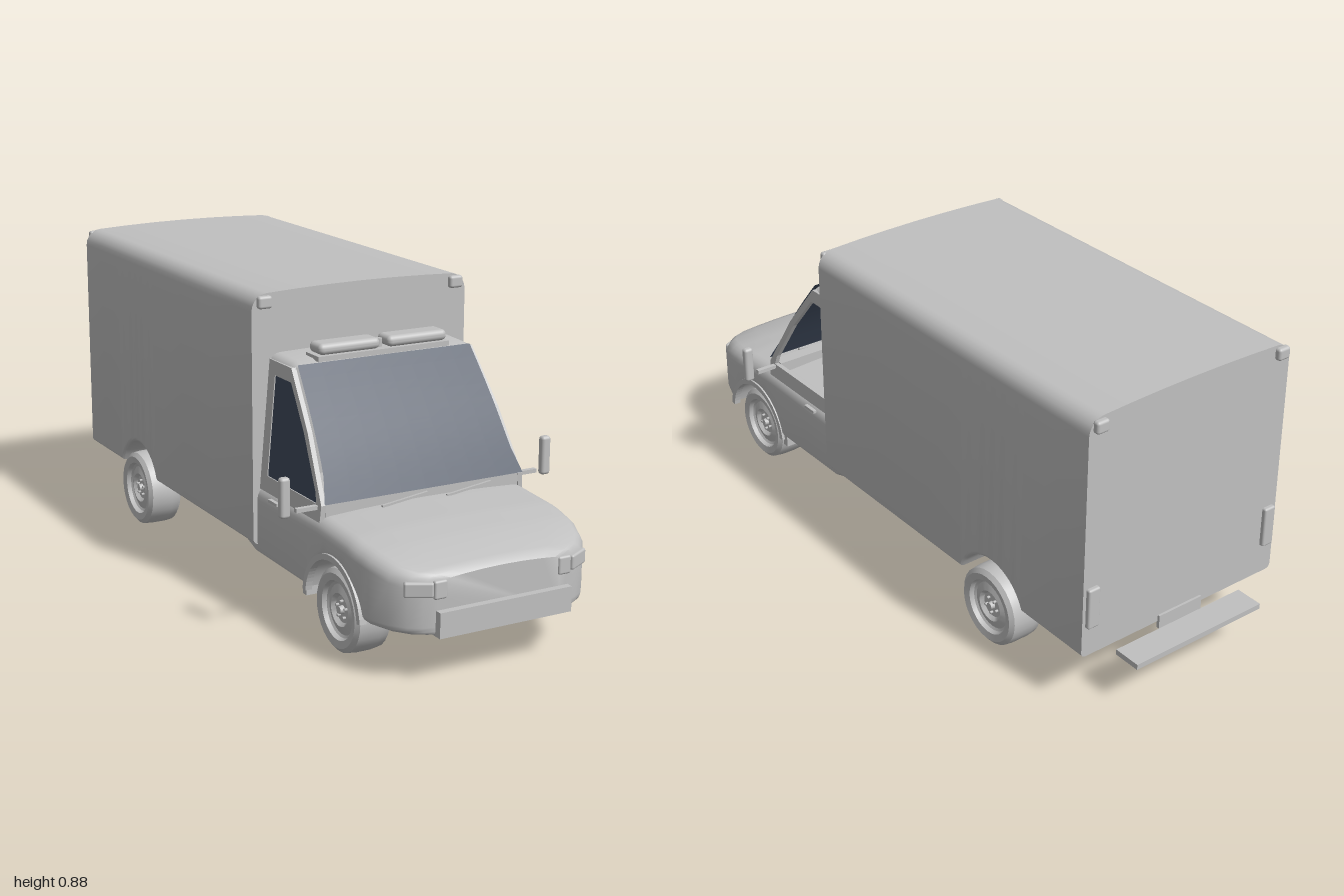
import * as THREE from 'three';
import { toCreasedNormals } from 'three/addons/utils/BufferGeometryUtils.js';
import { RoundedBoxGeometry } from 'three/addons/geometries/RoundedBoxGeometry.js';

const paint = new THREE.MeshStandardMaterial({ color: 0xc0c0c0, side: THREE.DoubleSide });
paint.name = 'grey paint';
const glass = new THREE.MeshStandardMaterial({ color: 0x3f4a5c, side: THREE.DoubleSide });
glass.name = 'dark glass';

const WHEEL_R = 0.115, FRONT_Z = 0.68, REAR_Z = -0.535;

export function createModel() {
  const model = new THREE.Group();
  model.name = 'boxTruck';

  const add = (name, geometry, x = 0, y = 0, z = 0, material = paint, parent = model) => {
    const mesh = new THREE.Mesh(geometry, material);
    mesh.name = name;
    mesh.position.set(x, y, z);
    parent.add(mesh);
    return mesh;
  };
  // Boxes given by their limits
  const box = (name, x0, x1, y0, y1, z0, z1, r = 0) => {
    const s = [x1 - x0, y1 - y0, z1 - z0];
    const g = r ? new RoundedBoxGeometry(...s, 3, r) : new THREE.BoxGeometry(...s);
    return add(name, g, (x0 + x1) / 2, (y0 + y1) / 2, (z0 + z1) / 2);
  };

  // Cargo box with its wheel arch cut right across the underside
  const boxZ = [0.26, 0.0, -0.2, ...archZ(REAR_Z, 0.145, 0.17), -0.8, -0.915];
  add('cargoBox', loft(boxZ.map(z =>
    section(z, 0.338, archY(z, REAR_Z, 0.145, 0.17), 0.87, 0.015, 0.045, 0.01))));

  // Bonnet, wings and lower cab
  const noseW = [[0.16, 0.325], [0.78, 0.325], [0.85, 0.316], [0.91, 0.295], [0.95, 0.263], [0.97, 0.23], [0.98, 0.195]];
  const hoodY = [[0.16, 0.335], [0.6, 0.342], [0.75, 0.332], [0.85, 0.317], [0.94, 0.293], [0.97, 0.283], [0.98, 0.272]];
  const sillY = [[0.16, 0.165], [0.24, 0.14], [0.5, 0.138], [0.98, 0.132]];
  const cabZ = [0.98, 0.97, 0.95, 0.91, 0.85, ...archZ(FRONT_Z, 0.14, 0.137), 0.4, 0.24, 0.16];
  add('lowerCab', loft(cabZ.map(z =>
    section(z, lerpTable(noseW, z), archY(z, FRONT_Z, 0.14, lerpTable(sillY, z)), lerpTable(hoodY, z), 0.02, 0.038, 0.012))));

  // Cab roof and cowl
  add('cabRoof', loft([[0.388, 0.695], [0.36, 0.703], [0.25, 0.706]].map(([z, t]) =>
    section(z, 0.286, 0.66, t, 0.005, 0.032, 0.004))));
  box('cowl', -0.3, 0.3, 0.335, 0.378, 0.56, 0.6);

  // Cab side frames: open on the left, glazed on the right
  const wallX = y => 0.316 - (y - 0.34) * 0.09;
  const windowPts = [[0.297, 0.375], [0.575, 0.375], [0.565, 0.405], [0.48, 0.54], [0.39, 0.654], [0.297, 0.654]];
  const toShape = pts => new THREE.Shape(pts.map(p => new THREE.Vector2(...p)));
  for (const s of [1, -1]) {
    const shape = toShape([[0.25, 0.33], [0.6, 0.33], [0.602, 0.375], [0.5, 0.545], [0.385, 0.692], [0.25, 0.692]]);
    shape.holes.push(new THREE.Path(windowPts.map(p => new THREE.Vector2(...p))));
    const d = 0.014;
    const g = new THREE.ExtrudeGeometry(shape, { depth: d, bevelEnabled: false });
    bend(g, (z, y, k) => [s > 0 ? wallX(y) - k : -wallX(y) + d - k, y, z]);
    add('cabSideFrame', g);
  }
  const pane = new THREE.ShapeGeometry(toShape(windowPts));
  bend(pane, (z, y) => [-wallX(y) + 0.003, y, z]);
  add('sideWindow', pane, 0, 0, 0, glass);

  // Windscreen, slightly bowed
  const screenW = [[0, 0.308], [0.22, 0.29], [1, 0.27]];
  const screen = new THREE.PlaneGeometry(2, 1, 8, 10);
  bend(screen, (u, v) => {
    const t = v + 0.5;
    return [u * lerpTable(screenW, t), 0.38 + 0.32 * t, 0.612 - 0.218 * t + 0.012 * Math.sin(Math.PI * t)];
  });
  add('windscreen', screen, 0, 0, 0, glass);

  // Wipers
  for (const x of [-0.07, 0.13]) {
    const w = add('wiper', new THREE.BoxGeometry(0.14, 0.006, 0.008), x, 0.362, 0.618);
    w.rotation.z = 0.13;
  }

  // Roof beacon bar
  box('beaconBase', -0.205, 0.205, 0.7, 0.714, 0.32, 0.39);
  add('beaconHub', new THREE.CylinderGeometry(0.01, 0.01, 0.03, 12), 0, 0.722, 0.355);

  // Paired details
  for (const s of [1, -1]) {
    const pair = (name, x0, x1, ...rest) => box(name, s > 0 ? x0 : -x1, s > 0 ? x1 : -x0, ...rest);
    pair('beacon', 0.012, 0.2, 0.715, 0.746, 0.322, 0.39, 0.014);
    pair('mirror', 0.392, 0.421, 0.35, 0.46, 0.562, 0.586, 0.009);
    pair('mirrorArm', 0.3, 0.375, 0.361, 0.372, 0.57, 0.584);
    pair('frontMarker', 0.281, 0.323, 0.832, 0.867, 0.255, 0.276, 0.008);
    pair('rearMarker', 0.285, 0.325, 0.832, 0.867, -0.932, -0.91, 0.008);
    pair('tailLamp', 0.29, 0.328, 0.26, 0.38, -0.928, -0.91, 0.006);
    pair('headlampInner', 0.167, 0.205, 0.225, 0.274, 0.955, 0.985, 0.006);
    pair('doorHandle', 0.32, 0.331, 0.314, 0.322, 0.335, 0.385);
    pair('mudFlap', 0.215, 0.32, 0.11, 0.145, 0.515, 0.535);
    const lamp = add('headlampOuter', new RoundedBoxGeometry(0.075, 0.04, 0.03, 2, 0.006), s * 0.235, 0.252, 0.956);
    lamp.rotation.y = s * 0.5;

    // Raised lip round the front arch
    const lip = new THREE.Shape();
    lip.absarc(0, 0, 0.152, 0.1, Math.PI - 0.1);
    lip.absarc(0, 0, 0.136, Math.PI - 0.1, 0.1, true);
    const lipMesh = add('archLip', new THREE.ExtrudeGeometry(lip, { depth: 0.02, bevelEnabled: false, curveSegments: 16 }),
      s > 0 ? 0.309 : -0.329, 0.115, FRONT_Z);
    lipMesh.rotation.y = Math.PI / 2;

    // Wheels
    wheel('frontWheel', s, 0.26, FRONT_Z);
    wheel('rearWheel', s, 0.296, REAR_Z);
  }

  // Bumper, rear step and rear plate
  box('frontBumper', -0.198, 0.198, 0.128, 0.196, 0.96, 1.0);
  box('rearStep', -0.22, 0.22, 0.13, 0.146, -1.0, -0.918);
  box('rearPlate', -0.075, 0.075, 0.15, 0.19, -0.922, -0.912);

  // Tyre and dished rim turned as one profile, with hub and five nuts
  function wheel(name, s, x, z) {
    const group = new THREE.Group();
    group.name = name;
    group.position.set(x * s, WHEEL_R, z);
    group.rotation.z = -s * Math.PI / 2;
    model.add(group);
    const profile = [[0, -0.01], [0.072, -0.01], [0.078, -0.05], [0.1, -0.054], [0.112, -0.044], [0.115, -0.02],
      [0.115, 0.02], [0.112, 0.044], [0.1, 0.054], [0.08, 0.05], [0.075, 0.038], [0.068, 0.034], [0.045, 0.042], [0.036, 0.032], [0, 0.032]];
    const tyre = new THREE.LatheGeometry(profile.map(p => new THREE.Vector2(...p)), 28);
    add('tyreAndRim', toCreasedNormals(tyre, 0.6), 0, 0, 0, paint, group);
    add('hub', new THREE.CylinderGeometry(0.01, 0.012, 0.014, 12), 0, 0.037, 0, paint, group);
    for (let i = 0; i < 5; i++) {
      const a = i * Math.PI * 0.4;
      add('wheelNut', new THREE.CylinderGeometry(0.004, 0.004, 0.01, 6),
        Math.cos(a) * 0.023, 0.036, Math.sin(a) * 0.023, paint, group);
    }
  }

  return model;
}

// Linear lookup in a list of [position, value]
function lerpTable(table, p) {
  for (let i = 1; i < table.length; i++) {
    const [a, va] = table[i - 1], [b, vb] = table[i];
    if (p <= b) return va + (vb - va) * Math.max(0, (p - a) / (b - a));
  }
  return table[table.length - 1][1];
}

// Stations along an arch, front to back, and the underside height there
function archZ(centre, r, base) {
  const a0 = Math.asin((base - WHEEL_R) / r);
  return Array.from({ length: 17 }, (_, i) => centre + r * Math.cos(a0 + (Math.PI - 2 * a0) * i / 16));
}
function archY(z, centre, r, base) {
  const d = r * r - (z - centre) ** 2;
  return d > 0 ? Math.max(base, WHEEL_R + Math.sqrt(d)) : base;
}

// Rounded, crowned cross-section, counter-clockwise seen from the front
function section(z, w, b, t, rb, rt, crown) {
  const pts = [];
  const corner = (cx, cy, r, start) => {
    for (let i = 0; i <= 5; i++) {
      const a = start + i / 5 * Math.PI / 2;
      pts.push([cx + r * Math.cos(a), cy + r * Math.sin(a)]);
    }
  };
  corner(w - rb, b + rb, rb, -Math.PI / 2);
  corner(w - rt, t - rt, rt, 0);
  for (const k of [0.6, 0.3, 0, -0.3, -0.6]) pts.push([k * w, t]);
  corner(rt - w, t - rt, rt, Math.PI / 2);
  corner(rb - w, b + rb, rb, Math.PI);
  return pts.map(([x, y]) => [x, y > t - rt - 1e-6 ? y + crown * (1 - (x / w) ** 2) : y, z]);
}

// Skin over sections running front to back, with both ends capped
function loft(sections) {
  const n = sections[0].length, last = (sections.length - 1) * n, index = [];
  for (let i = 0; i < sections.length - 1; i++) {
    for (let j = 0; j < n; j++) {
      const a = i * n + j, b = i * n + (j + 1) % n;
      index.push(a, a + n, b + n, a, b + n, b);
    }
  }
  for (let j = 1; j < n - 1; j++) index.push(0, j, j + 1, last, last + j + 1, last + j);
  const g = new THREE.BufferGeometry();
  g.setAttribute('position', new THREE.Float32BufferAttribute(sections.flat(2), 3));
  g.setIndex(index);
  return toCreasedNormals(g, 0.6);
}

// Move every vertex by a rule
function bend(g, rule) {
  const p = g.attributes.position;
  for (let i = 0; i < p.count; i++) p.setXYZ(i, ...rule(p.getX(i), p.getY(i), p.getZ(i)));
  g.computeVertexNormals();
}
